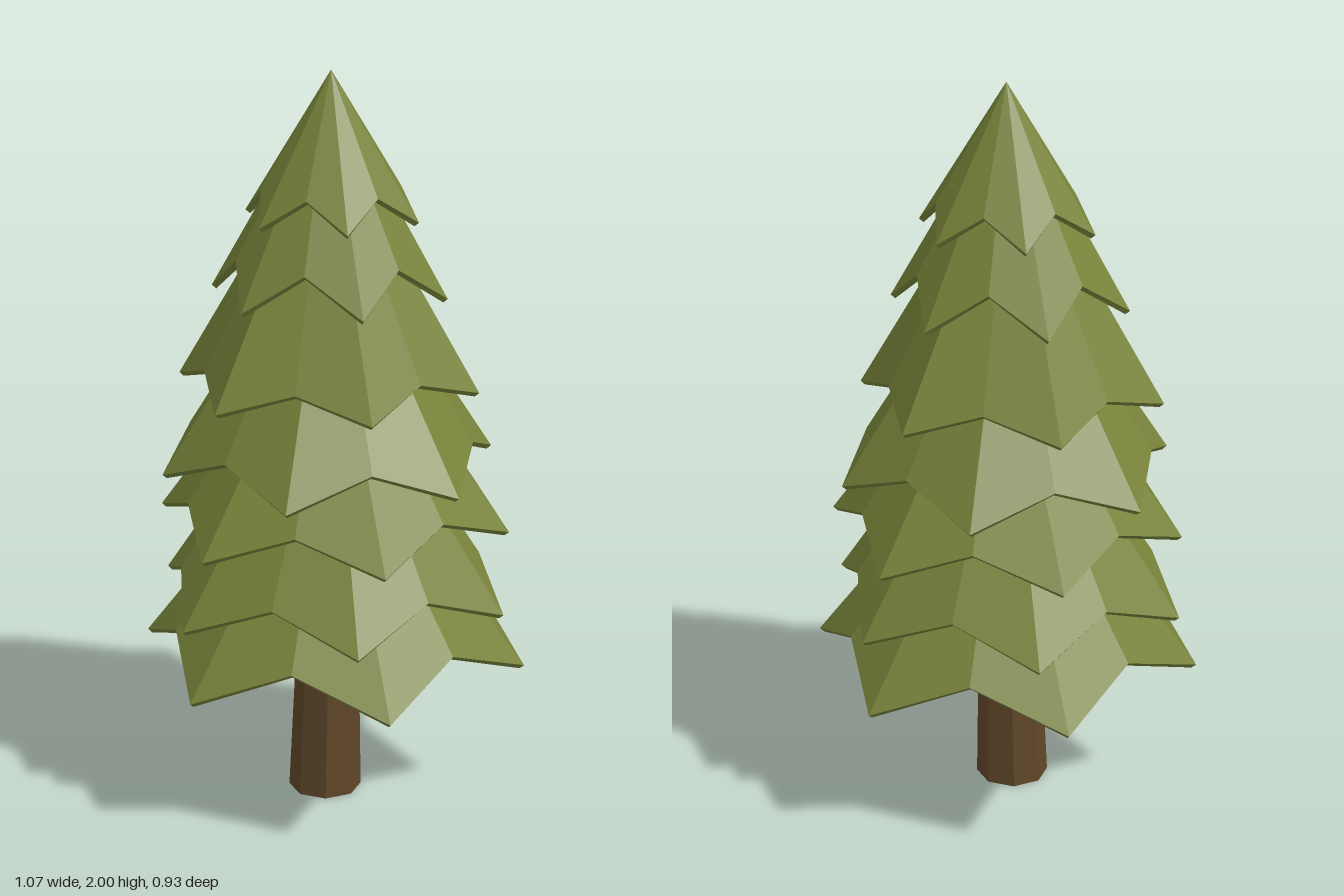
import * as THREE from 'three';

const needles = new THREE.MeshStandardMaterial({ color: 0x78833a, flatShading: true });
needles.name = 'needle green';
const bark = new THREE.MeshStandardMaterial({ color: 0x604729, flatShading: true });
bark.name = 'bark brown';

// Bottom to top: tip height, valley height, tip radius, valley radius, apex height, turn in degrees, centre x, centre z
const TIERS = [
  [0.40, 0.50, 0.535, 0.44, 1.10, 0, 0, 0],
  [0.57, 0.66, 0.495, 0.41, 1.30, 8, -0.005, 0],
  [0.78, 0.86, 0.485, 0.40, 1.45, 0, 0, 0],
  [0.945, 1.025, 0.46, 0.39, 1.65, 30, -0.005, -0.005],
  [1.16, 1.22, 0.412, 0.335, 1.86, 0, -0.005, -0.015],
  [1.41, 1.51, 0.32, 0.25, 1.97, 0, -0.005, -0.01],
  [1.615, 1.69, 0.24, 0.185, 2.00, 6, -0.005, 0],
];

// Thin six-pointed cone shell with drooping tips, hollow below
function tierGeometry([tipY, valleyY, tipR, valleyR, apexY, turn]) {
  const outer = [], inner = [];
  for (let i = 0; i < 12; i++) {
    const a = THREE.MathUtils.degToRad(turn + i * 30);
    const r = i % 2 ? valleyR : tipR;
    const y = i % 2 ? valleyY : tipY;
    outer.push([Math.cos(a) * r, y + 0.004, Math.sin(a) * r]);
    inner.push([Math.cos(a) * (r - 0.012), y - 0.006, Math.sin(a) * (r - 0.012)]);
  }
  const top = [0, apexY, 0], under = [0, apexY - 0.04, 0];
  const pos = [];
  for (let i = 0; i < 12; i++) {
    const j = (i + 1) % 12;
    const P = outer[i], Q = outer[j], p = inner[i], q = inner[j];
    for (const v of [top, Q, P, P, Q, q, P, q, p, under, p, q]) pos.push(...v);
  }
  const g = new THREE.BufferGeometry();
  g.setAttribute('position', new THREE.Float32BufferAttribute(pos, 3));
  g.computeVertexNormals();
  return g;
}

// Tapered branch swept along a curve
function branchGeometry(points, r0, r1) {
  const curve = new THREE.CatmullRomCurve3(points.map((p) => new THREE.Vector3(...p)));
  const rows = 6, sides = 6;
  const g = new THREE.TubeGeometry(curve, rows, 1, sides, false);
  const pos = g.attributes.position, v = new THREE.Vector3();
  for (let i = 0; i < pos.count; i++) {
    const t = Math.floor(i / (sides + 1)) / rows;
    const c = curve.getPointAt(t);
    v.fromBufferAttribute(pos, i).sub(c).multiplyScalar(THREE.MathUtils.lerp(r0, r1, t)).add(c);
    pos.setXYZ(i, v.x, v.y, v.z);
  }
  g.computeVertexNormals();
  return g;
}

export function createModel() {
  const tree = new THREE.Group();
  tree.name = 'coniferTree';
  const add = (name, geometry, material) => {
    const m = new THREE.Mesh(geometry, material);
    m.name = name;
    tree.add(m);
    return m;
  };

  // Foliage
  TIERS.forEach((t, i) => {
    add('foliageTier' + (i + 1), tierGeometry(t), needles).position.set(t[6], 0, t[7]);
  });

  // Trunk, leaning slightly towards the front
  const trunk = new THREE.CylinderGeometry(0.073, 0.1, 0.8, 8);
  trunk.translate(0, 0.4, 0);
  const p = trunk.attributes.position;
  for (let i = 0; i < p.count; i++) p.setZ(i, p.getZ(i) + p.getY(i) * 0.025);
  trunk.computeVertexNormals();
  add('trunk', trunk, bark).position.x = -0.03;

  // Bare branches
  add('leftBranch', branchGeometry(
    [[0, 0.32, 0.015], [0.09, 0.375, 0.015], [0.165, 0.46, 0.01], [0.205, 0.57, 0], [0.225, 0.69, 0]], 0.045, 0.012), bark);
  add('rightBranch', branchGeometry(
    [[-0.06, 0.5, 0], [-0.13, 0.51, 0], [-0.185, 0.545, 0], [-0.205, 0.6, 0]], 0.022, 0.007), bark);

  return tree;
}
